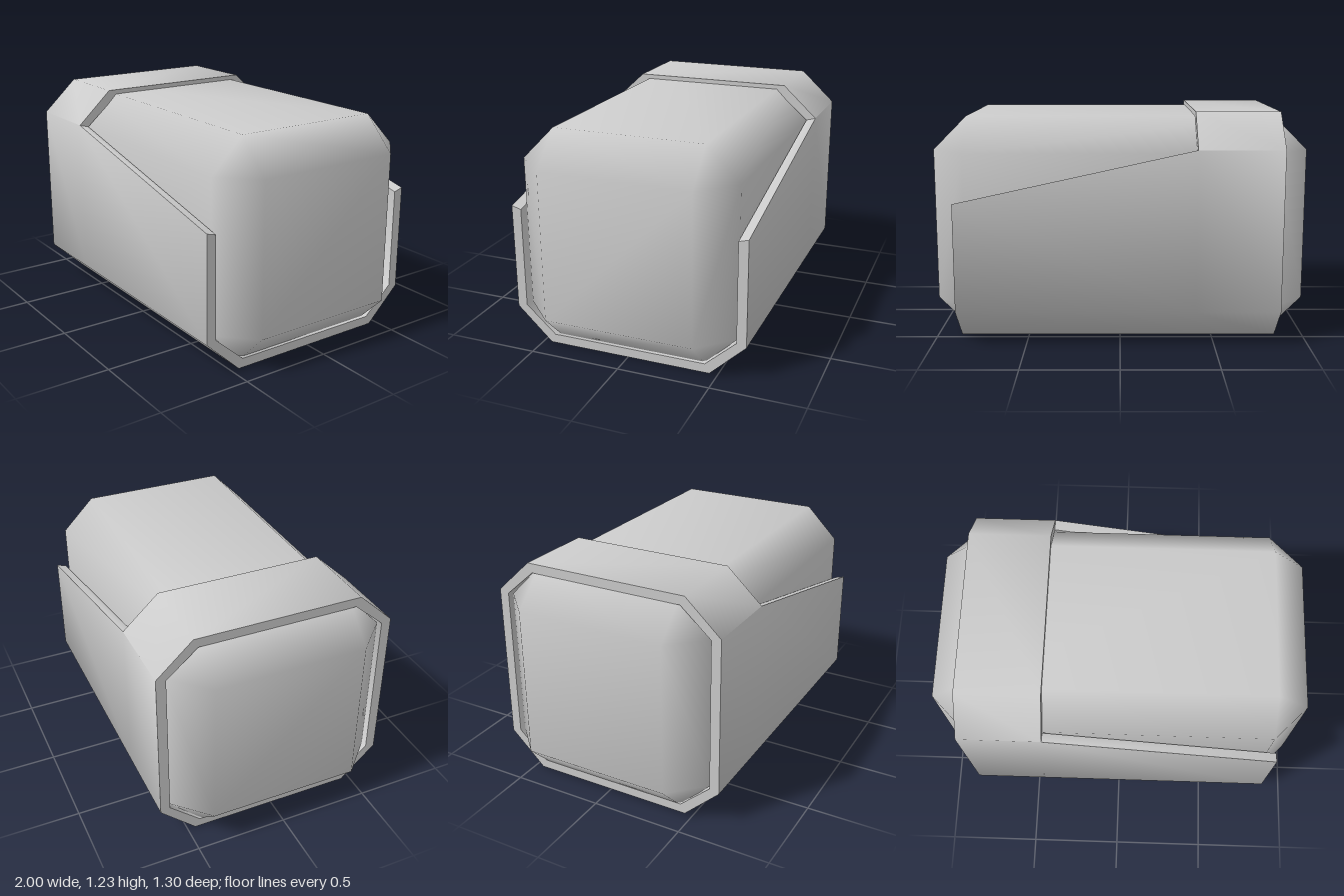
import * as THREE from 'three';
import { mergeVertices, toCreasedNormals } from 'three/addons/utils/BufferGeometryUtils.js';
import { ConvexGeometry } from 'three/addons/geometries/ConvexGeometry.js';

const grey = new THREE.MeshStandardMaterial({ color: 0xcccccc });

// Box with every edge bevelled and softly shaded across the bevels
function bevelledBox(hx, hy, hz, bevel) {
  const points = [];
  for (const sx of [-1, 1]) for (const sy of [-1, 1]) for (const sz of [-1, 1]) {
    for (let axis = 0; axis < 3; axis++) {
      const p = [hx - bevel, hy - bevel, hz - bevel];
      p[axis] += bevel;
      points.push(new THREE.Vector3(p[0] * sx, p[1] * sy, p[2] * sz));
    }
  }
  let geometry = new ConvexGeometry(points);
  geometry.deleteAttribute('normal');
  geometry = mergeVertices(geometry, 1e-4);
  geometry.computeVertexNormals();
  return geometry;
}

// Octagonal loop of [z, y] points, from the left shoulder down and around
function octagon(side, shoulder, foot, flat, bottom, top) {
  return [
    [side, shoulder], [side, foot], [flat, bottom], [-flat, bottom],
    [-side, foot], [-side, shoulder], [-flat, top], [flat, top],
  ];
}

// Closed band at one end that opens into a tray with sloping side walls
function sleeveGeometry() {
  const backX = -0.85, bandX = -0.4, frontX = 0.87, drop = 0.28;
  const outer = octagon(0.65, 1.045, 0.185, 0.455, 0, 1.225);
  const inner = octagon(0.597, 1.03, 0.2, 0.43, 0.05, 1.175);
  const station = (loop, x, lower = 0) => loop.map(([z, y], i) =>
    [x, i === 0 || i === 5 ? y - lower : y, z]);
  const section = (x, lower) => ({ o: station(outer, x, lower), i: station(inner, x, lower) });
  const A = section(backX), B = section(bandX), C = section(frontX, drop);

  const positions = [];
  const quad = (a, b, c, d) => positions.push(...a, ...b, ...c, ...a, ...c, ...d);
  const wall = (S, T, k) => {
    const n = (k + 1) % 8;
    quad(S.o[k], S.o[n], T.o[n], T.o[k]);
    quad(S.i[k], T.i[k], T.i[n], S.i[n]);
  };
  const cap = (S, k, facesFront) => {
    const n = (k + 1) % 8;
    if (facesFront) quad(S.o[k], S.o[n], S.i[n], S.i[k]);
    else quad(S.o[k], S.i[k], S.i[n], S.o[n]);
  };

  for (let k = 0; k < 8; k++) {
    wall(A, B, k);
    cap(A, k, false);
    if (k < 5) {
      wall(B, C, k);
      cap(C, k, true);
    } else {
      cap(B, k, true);
    }
  }
  // Sloping rims of the two side walls
  quad(B.o[0], C.o[0], C.i[0], B.i[0]);
  quad(B.o[5], B.i[5], C.i[5], C.o[5]);

  const geometry = new THREE.BufferGeometry();
  geometry.setAttribute('position', new THREE.Float32BufferAttribute(positions, 3));
  return toCreasedNormals(geometry, Math.PI / 3);
}

export function createModel() {
  const model = new THREE.Group();
  model.name = 'sleevedBlock';

  // Inner block
  const body = new THREE.Mesh(bevelledBox(1, 0.59, 0.59, 0.18), grey);
  body.name = 'body';
  body.position.y = 0.61;

  // Outer sleeve
  const sleeve = new THREE.Mesh(sleeveGeometry(), grey);
  sleeve.name = 'sleeve';

  model.add(body, sleeve);
  return model;
}
